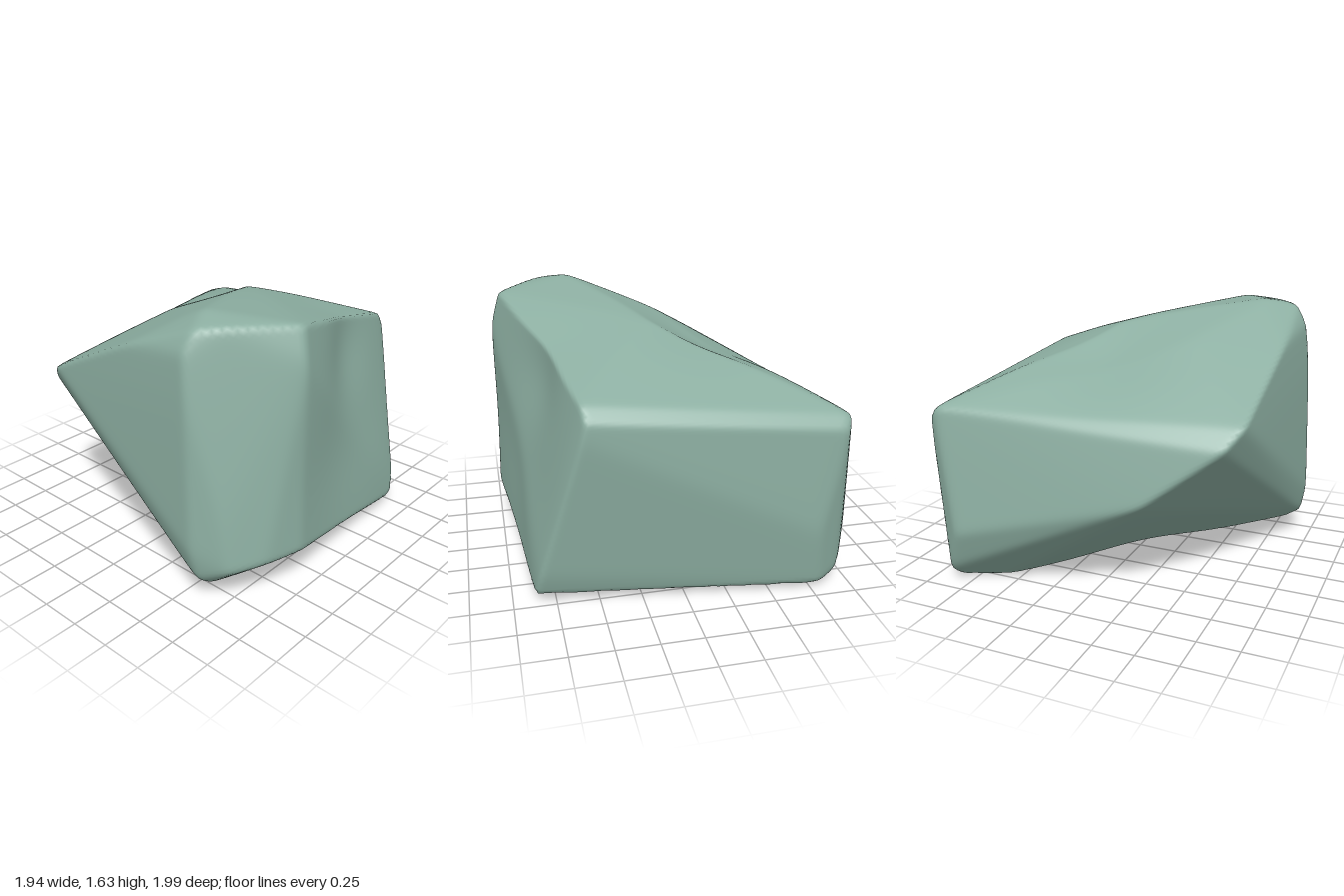
import * as THREE from 'three';
import { ConvexGeometry } from 'three/addons/geometries/ConvexGeometry.js';
import { mergeVertices } from 'three/addons/utils/BufferGeometryUtils.js';

// Main corners of the boulder: x, y, z
const corners = [
  // top
  [-0.68, 1.645, 0.47], [-0.86, 1.6, 0.56], [-0.93, 1.48, 0.55], [-0.76, 1.61, 0.68], [-0.42, 1.6, 0.93],
  [-0.36, 1.46, -0.08], [0.15, 1.52, 0.06], [0.42, 1.41, 0.39], [-0.9, 1.41, 0.08],
  [0.86, 1.26, 0.6], [0.93, 1.18, 0.58], [0.91, 1.1, -0.93], [0.965, 1.03, -0.9],
  // overhanging back corner
  [-0.45, 1.0, -0.74], [-0.87, 1.09, -0.59], [-0.78, 0.97, -0.7], [-0.33, 0.62, -0.83],
  // back lower corner
  [0.77, 0.35, -1.005], [0.975, 0.4, -0.76], [0.925, 0.03, -0.79], [0.84, 0.015, -0.86],
  [0.86, 0.09, -0.94], [0.58, -0.005, -0.7],
  // front lower edge
  [0.73, 0.065, 0.875], [0.78, 0.2, 0.85], [-0.46, 0.28, 1.005], [-0.5, 0.095, 0.7],
  // rounded front corner
  [-0.46, 1.4, 0.99], [-0.7, 0.28, 0.935], [-0.88, 0.25, 0.81], [-0.975, 0.34, 0.62],
  [-0.94, 0.17, 0.63], [-0.84, 0.1, 0.66], [-0.95, 1.3, 0.57],
].map((c) => new THREE.Vector3(...c));

const centre = new THREE.Vector3(0.08, 0.78, 0.1);

// Shallow hollows: where, which way the surface sinks, and how wide
const hollows = [
  { at: new THREE.Vector3(0.13, 0.75, 0.9), push: new THREE.Vector3(0, 0, -0.05), width: 0.5 },
  { at: new THREE.Vector3(0.25, 1.25, 0.78), push: new THREE.Vector3(0, -0.01, -0.05), width: 0.3 },
  { at: new THREE.Vector3(0.1, 1.38, -0.27), push: new THREE.Vector3(0, -0.06, 0), width: 0.35 },
  { at: new THREE.Vector3(0.12, 0.05, 0.1), push: new THREE.Vector3(0, 0.06, 0), width: 0.42 },
];

// Planes of the faces between the corners
function facePlanes() {
  const hull = new ConvexGeometry(corners.map((c) => c.clone().sub(centre)));
  const pos = hull.attributes.position;
  const planes = [];
  for (let i = 0; i < pos.count; i += 3) {
    const [a, b, c] = [0, 1, 2].map((k) => new THREE.Vector3().fromBufferAttribute(pos, i + k));
    const n = b.sub(a).cross(c.sub(a)).normalize();
    const h = n.dot(a);
    if (h > 0.05 && !planes.some((p) => p.n.dot(n) > 0.9998)) planes.push({ n, h });
  }
  return planes;
}

// Sphere pushed out to the planes, with softly rounded edges and hollows
function boulderGeometry() {
  const planes = facePlanes();
  const ball = new THREE.IcosahedronGeometry(1, 56);
  ball.deleteAttribute('uv');
  ball.deleteAttribute('normal');
  const geo = mergeVertices(ball, 1e-5);
  const pos = geo.attributes.position;
  const d = new THREE.Vector3();
  const sharpness = 150;
  for (let i = 0; i < pos.count; i++) {
    d.fromBufferAttribute(pos, i).normalize();
    let sum = 0;
    for (const { n, h } of planes) sum += Math.max(0, n.dot(d) / h) ** sharpness;
    d.multiplyScalar(sum ** (-1 / sharpness)).add(centre);
    for (const { at, push, width } of hollows) {
      d.addScaledVector(push, Math.exp(-d.distanceToSquared(at) / width ** 2));
    }
    pos.setXYZ(i, d.x, d.y, d.z);
  }
  geo.computeVertexNormals();
  return geo;
}

export function createModel() {
  const group = new THREE.Group();
  group.name = 'rock';
  const stone = new THREE.MeshStandardMaterial({ color: 0x8dafa2 });
  stone.name = 'grey green stone';
  const boulder = new THREE.Mesh(boulderGeometry(), stone);
  boulder.name = 'boulder';
  group.add(boulder);
  return group;
}
